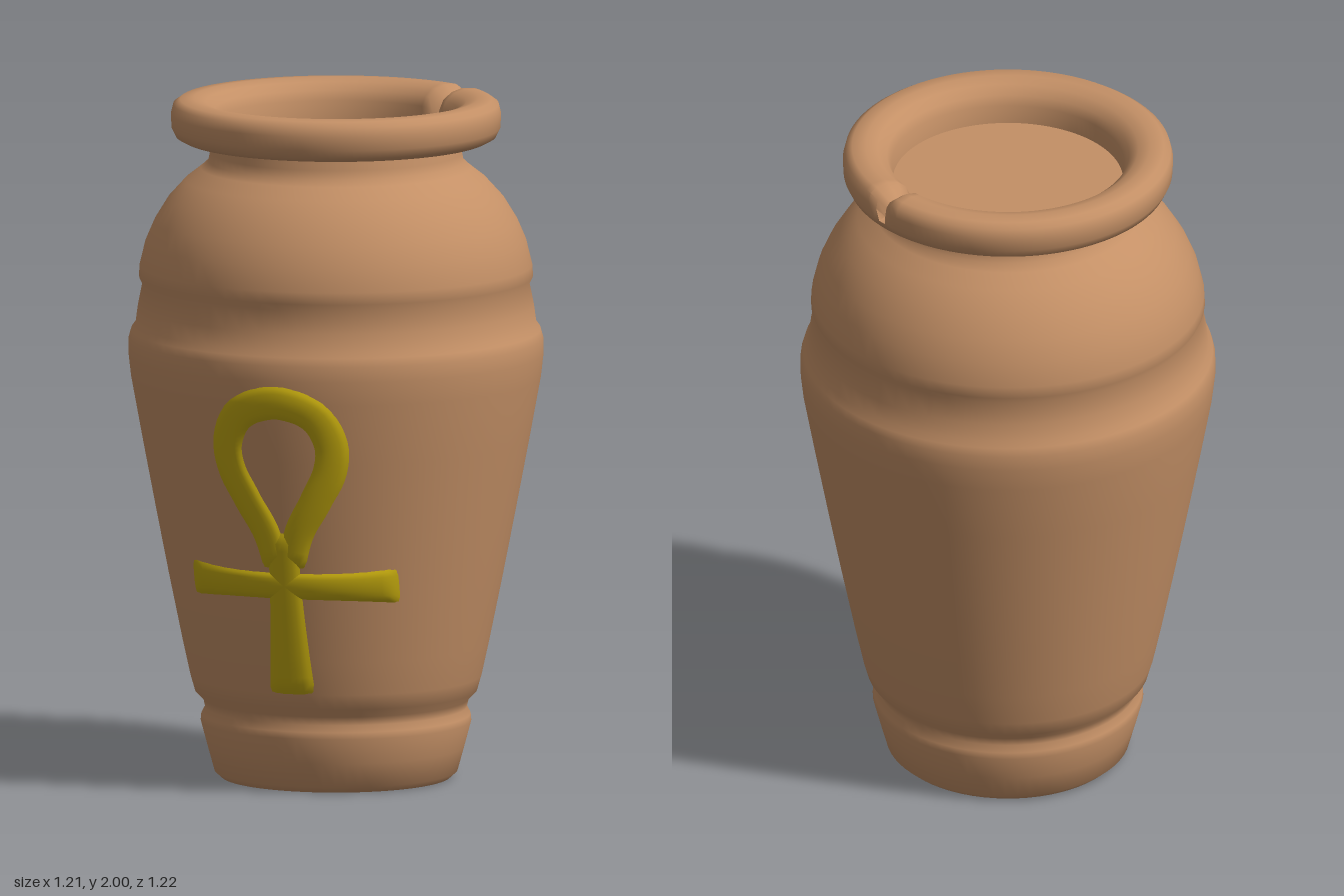
import * as THREE from 'three';
import { toCreasedNormals } from 'three/addons/utils/BufferGeometryUtils.js';

const v2 = (p) => new THREE.Vector2(p[0], p[1]);

// Outer profile of the jar: [radius, height]
const BODY = [
  [0, 0], [0.335, 0], [0.355, 0.018], [0.375, 0.09], [0.395, 0.165], [0.393, 0.185], [0.382, 0.205],
  [0.388, 0.23], [0.412, 0.255], [0.425, 0.3], [0.447, 0.4], [0.488, 0.6], [0.527, 0.8], [0.565, 1.0],
  [0.598, 1.18], [0.606, 1.25], [0.605, 1.295], [0.598, 1.32], [0.585, 1.338], [0.578, 1.39],
  [0.565, 1.455], [0.575, 1.475], [0.573, 1.51], [0.556, 1.58], [0.53, 1.64], [0.49, 1.705],
  [0.44, 1.76], [0.395, 1.795], [0.373, 1.815], [0.368, 1.84], [0.36, 1.885],
];
// Thick rolled lip, running from the underside over the top to the inner wall
const LIP = [
  [0.35, 1.872], [0.445, 1.878], [0.468, 1.89], [0.48, 1.915], [0.482, 1.955], [0.475, 1.983],
  [0.455, 1.997], [0.415, 2.0], [0.38, 1.99], [0.353, 1.968], [0.34, 1.94], [0.335, 1.87],
];

// Wall radius at a given height, between the profile points
function radiusAt(y) {
  for (let i = 2; i < BODY.length; i++) {
    const [r0, y0] = BODY[i - 1], [r1, y1] = BODY[i];
    if (y <= y1) return r0 + (r1 - r0) * (y - y0) / (y1 - y0);
  }
  return BODY[BODY.length - 1][0];
}

// Rounded ribbon laid on the front of the wall; points are [x, y], halfWidth is a function of 0..1
function wallRibbon(points, halfWidth, steps) {
  const curve = new THREE.CatmullRomCurve3(points.map((p) => new THREE.Vector3(p[0], p[1], 0)));
  const across = 8, pos = [], index = [];
  for (let i = 0; i <= steps; i++) {
    const u = i / steps, c = curve.getPointAt(u), t = curve.getTangentAt(u);
    const endFade = Math.min(1, Math.min(i, steps - i) / 1.5);
    for (let j = 0; j <= across; j++) {
      const s = (j / across) * 2 - 1, w = halfWidth(u) * s;
      const x = c.x - t.y * w, y = c.y + t.x * w;
      const r = radiusAt(y) - 0.006 + 0.018 * Math.sqrt(1 - s * s) * endFade;
      pos.push(x, y, Math.sqrt(r * r - x * x));
    }
  }
  const row = across + 1;
  for (let i = 0; i < steps; i++) for (let j = 0; j < across; j++) {
    const a = i * row + j, b = a + row;
    index.push(a, b, a + 1, b, b + 1, a + 1);
  }
  const g = new THREE.BufferGeometry();
  g.setAttribute('position', new THREE.Float32BufferAttribute(pos, 3));
  g.setIndex(index);
  g.computeVertexNormals();
  return g;
}

export function createModel() {
  const clay = new THREE.MeshStandardMaterial({ color: 0xc49066 });
  clay.name = 'clay';
  const yellow = new THREE.MeshStandardMaterial({ color: 0xc2a80e });
  yellow.name = 'yellow paint';

  const jar = new THREE.Group();
  jar.name = 'jar';
  const add = (parent, name, geometry, material) => {
    const mesh = new THREE.Mesh(geometry, material);
    mesh.name = name;
    parent.add(mesh);
  };

  // Body with foot, belly, shoulder bands and neck
  add(jar, 'body', toCreasedNormals(new THREE.LatheGeometry(BODY.map(v2), 64), 0.9), clay);

  // Lip with a small crack at the back on the model's left
  const lip = new THREE.LatheGeometry(LIP.map(v2), 120);
  const p = lip.attributes.position;
  const crack = Math.atan2(0.29, -0.36);
  for (let i = 0; i < p.count; i++) {
    const x = p.getX(i), z = p.getZ(i);
    const d = Math.abs(Math.atan2(x, z) - crack);
    const k = Math.max(0, 1 - d / 0.09);
    if (k > 0 && p.getY(i) > 1.93) {
      const r = Math.hypot(x, z), f = 1 + (0.41 - r) * 0.35 * k / r;
      p.setXYZ(i, x * f, p.getY(i) - 0.035 * k, z * f);
    }
  }
  add(jar, 'lip', toCreasedNormals(lip, 0.9), clay);

  // Shallow closed mouth inside the lip
  const mouth = new THREE.CircleGeometry(0.345, 48).rotateX(-Math.PI / 2).translate(0, 1.885, 0);
  add(jar, 'mouthFloor', mouth, clay);

  // Looped cross emblem on the front wall
  const emblem = new THREE.Group();
  emblem.name = 'emblem';
  const side = [[0.02, 0.68], [0.05, 0.79], [0.105, 0.89], [0.15, 0.98], [0.158, 1.06], [0.115, 1.145]];
  const loop = [...side, [0, 1.185], ...side.map(([x, y]) => [-x, y]).reverse()];
  add(emblem, 'emblemLoop', wallRibbon(loop, (u) => 0.046 + 0.01 * Math.sin(u * Math.PI), 64), yellow);
  add(emblem, 'emblemStem', wallRibbon([[0, 0.8], [0, 0.55], [0, 0.29]],
    (u) => 0.052 + 0.028 * u * u, 24), yellow);
  add(emblem, 'emblemCrossbar', wallRibbon([[-0.322, 0.63], [0, 0.63], [0.322, 0.63]],
    (u) => 0.044 + 0.018 * Math.pow(Math.abs(2 * u - 1), 3), 40), yellow);
  jar.add(emblem);

  return jar;
}
